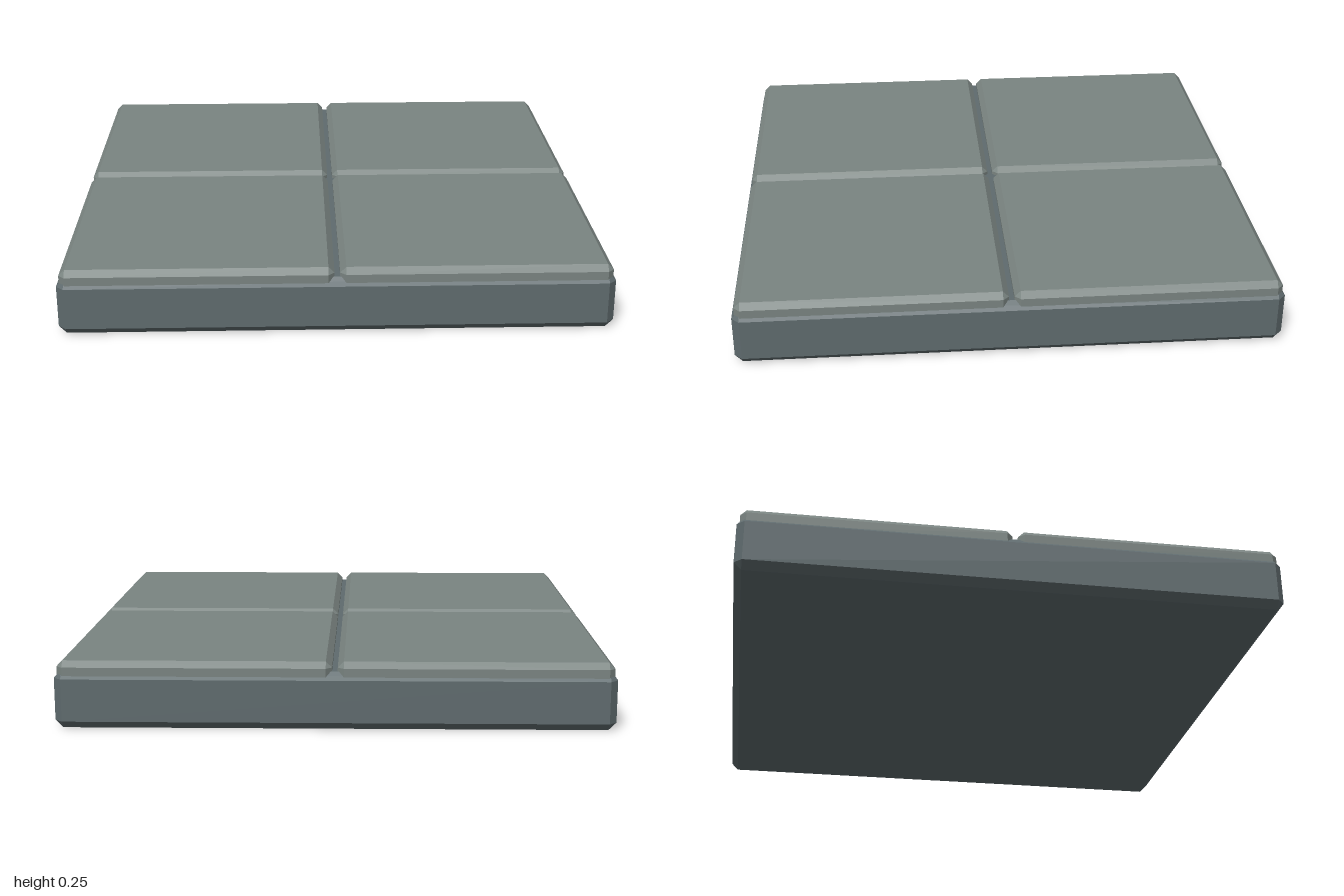
import * as THREE from 'three';
import { ConvexGeometry } from 'three/addons/geometries/ConvexGeometry.js';

// Box with every edge and corner cut by a flat chamfer c
function chamferBox(w, h, d, c) {
  const points = [];
  for (const sx of [-1, 1]) for (const sy of [-1, 1]) for (const sz of [-1, 1]) {
    const x = w / 2, y = h / 2, z = d / 2;
    points.push(
      new THREE.Vector3(sx * x, sy * (y - c), sz * (z - c)),
      new THREE.Vector3(sx * (x - c), sy * y, sz * (z - c)),
      new THREE.Vector3(sx * (x - c), sy * (y - c), sz * z)
    );
  }
  return new ConvexGeometry(points);
}

export function createModel() {
  const group = new THREE.Group();
  group.name = 'floorTile';
  const baseMaterial = new THREE.MeshStandardMaterial({ color: 0x5f6b6e, flatShading: true });
  const slabMaterial = new THREE.MeshStandardMaterial({ color: 0x7a8481, flatShading: true });

  // Square base block
  const baseHeight = 0.21;
  const base = new THREE.Mesh(chamferBox(2, baseHeight, 2, 0.028), baseMaterial);
  base.name = 'base';
  base.position.y = baseHeight / 2;
  group.add(base);

  // Four slabs sunk into the base, separated by a cross-shaped groove
  const gap = 0.01, outer = 0.99, bottom = 0.15, top = 0.245;
  const size = outer - gap;
  const slabGeometry = chamferBox(size, top - bottom, size, 0.022);
  for (const [sx, xName] of [[-1, 'Right'], [1, 'Left']]) {
    for (const [sz, zName] of [[-1, 'back'], [1, 'front']]) {
      const slab = new THREE.Mesh(slabGeometry, slabMaterial);
      slab.name = `${zName}${xName}Slab`;
      slab.position.set(sx * (gap + outer) / 2, (bottom + top) / 2, sz * (gap + outer) / 2);
      group.add(slab);
    }
  }
  return group;
}
